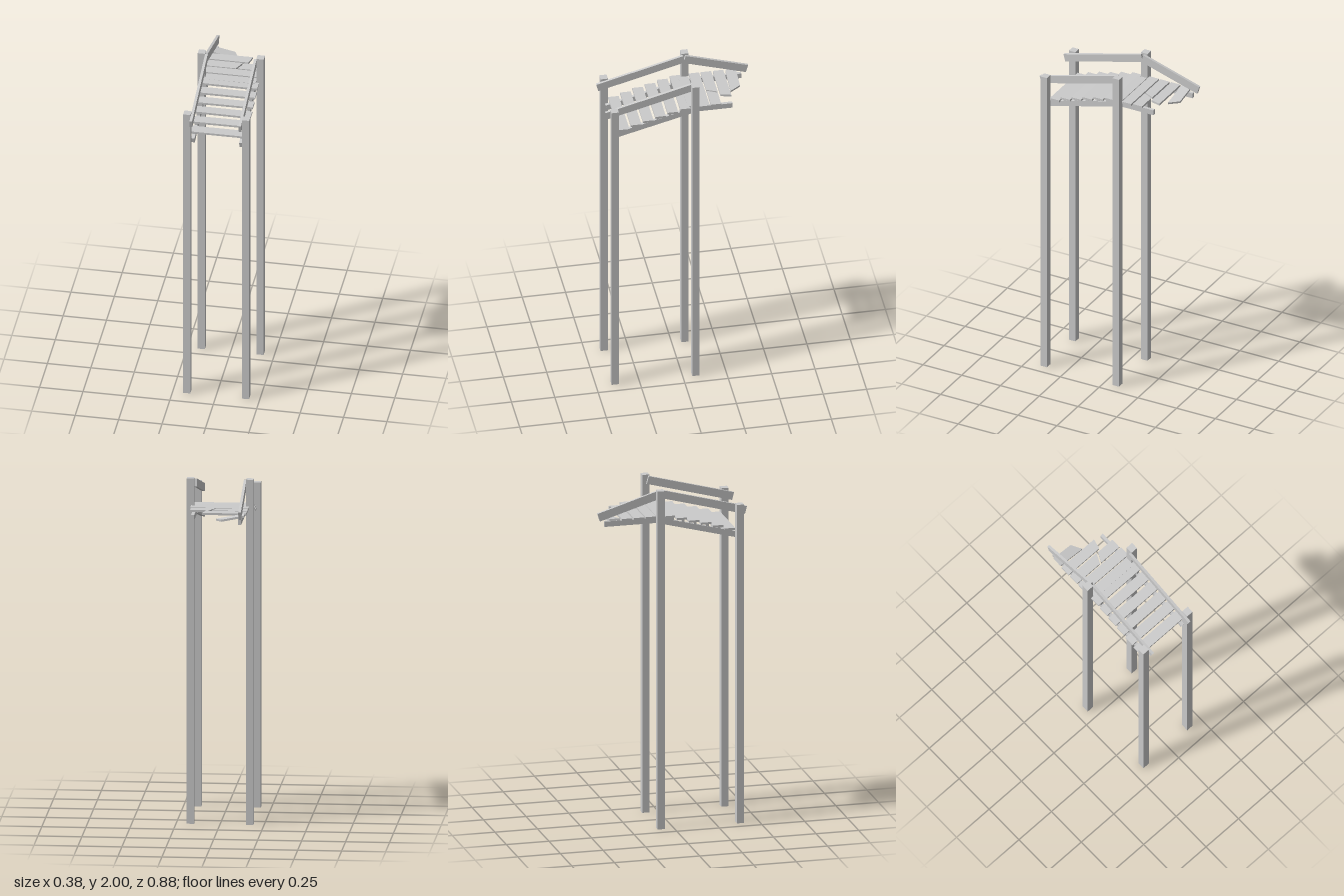
import * as THREE from 'three';

const material = new THREE.MeshStandardMaterial({ color: 0xcccccc, flatShading: true });

export function createModel() {
  const model = new THREE.Group();

  function add(name, geometry, x, y, z) {
    const mesh = new THREE.Mesh(geometry, material);
    mesh.name = name;
    mesh.position.set(x, y, z);
    model.add(mesh);
    return mesh;
  }

  // Square-cut timber between two points [z, y] in a side plane
  function timber(name, x, width, height, [z0, y0], [z1, y1]) {
    const length = Math.hypot(z1 - z0, y1 - y0);
    const beam = add(name, new THREE.BoxGeometry(width, height, length), x, (y0 + y1) / 2, (z0 + z1) / 2);
    beam.rotation.x = Math.atan2(y1 - y0, z0 - z1);
    return beam;
  }

  // Board from a plan outline of [x, z] corners, resting at height y
  function board(name, corners, y, thickness = 0.012) {
    const shape = new THREE.Shape(corners.map(([x, z]) => new THREE.Vector2(x, -z)));
    const geometry = new THREE.ExtrudeGeometry(shape, { depth: thickness, bevelEnabled: false });
    geometry.rotateX(-Math.PI / 2);
    return add(name, geometry, 0, y, 0);
  }

  for (const side of [-1, 1]) {
    // Tall posts
    for (const [z, height] of [[0.39, 1.885], [-0.075, 2]]) {
      add('post', new THREE.BoxGeometry(0.042, height, 0.042), side * 0.169, height / 2, z);
    }
    // Sloping handrail and stringer, level stringer
    timber('handrail', side * 0.141, 0.015, 0.046, [0.433, 1.838], [-0.067, 1.972]);
    timber('slopedStringer', side * 0.138, 0.019, 0.033, [0.382, 1.697], [-0.07, 1.814]);
    const end = side < 0 ? -0.396 : -0.294;
    timber('levelStringer', side * 0.138, 0.018, 0.031, [0.01, 1.818], [end, 1.818]);
  }

  // Handrail sloping down past the broken end, on one side only
  timber('brokenHandrail', -0.141, 0.015, 0.048, [-0.07, 1.97], [-0.43, 1.86]);

  // Stepped treads with small cleats
  const treads = [[0.334, 1.732], [0.265, 1.755], [0.195, 1.776], [0.124, 1.795], [0.053, 1.815], [-0.02, 1.831]];
  treads.forEach(([z, y], i) => {
    const tread = add('tread', new THREE.BoxGeometry(0.331, 0.012, 0.061), -0.001, y + 0.006, z);
    tread.rotation.z = 0.006 * Math.sin(i * 2.3);
    if (i < 5) {
      for (const side of [-1, 1]) {
        add('cleat', new THREE.BoxGeometry(0.018, 0.024, 0.016), side * 0.138, y - 0.011, z + 0.012);
      }
    }
  });

  // Level deck boards
  const deckY = 1.835;
  board('deckBoard', [[-0.146, -0.035], [0.146, -0.035], [0.146, -0.094], [-0.146, -0.094]], deckY - 0.003);
  board('deckBoard', [[-0.166, -0.1], [0.164, -0.1], [0.164, -0.16], [-0.166, -0.16]], deckY);

  // Snapped deck boards
  board('brokenBoard', [[-0.166, -0.168], [0.01, -0.168], [0.038, -0.229], [-0.166, -0.229]], deckY);
  board('brokenBoard', [[0.019, -0.168], [0.159, -0.168], [0.159, -0.227], [0.049, -0.227]], deckY);
  board('brokenBoard', [[-0.166, -0.239], [0.069, -0.239], [0.084, -0.299], [-0.166, -0.299]], deckY);

  // Last board, drooping at its broken end
  const loose = board('looseBoard', [[-0.025, 0.03], [0.143, 0.03], [0.107, -0.03], [-0.025, -0.03]], 1.836);
  loose.position.set(-0.138, 1.834, -0.34);
  loose.rotation.z = -0.2;

  return model;
}
